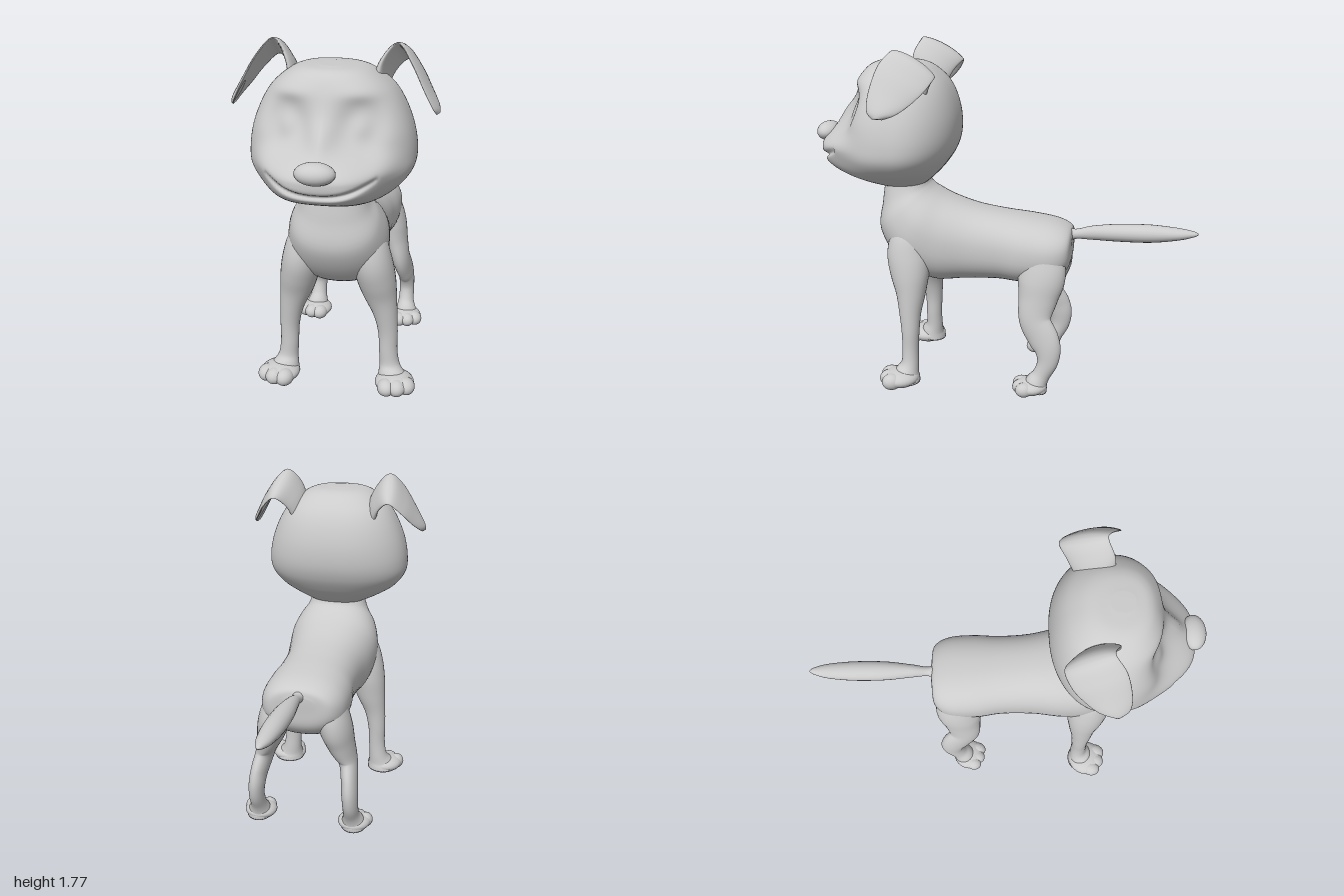
import * as THREE from 'three';

const material = new THREE.MeshStandardMaterial({ color: 0xcccccc });

// Smooth closed tube. Each row: edge point A, opposite edge point B, half width across them.
// power < 1 squares the section, bulge cups it, shape() moves the finished vertices.
function loft(rows, { steps = 40, sides = 32, power = 1, bulge = 0, shape = null } = {}) {
  const curve = f => new THREE.CatmullRomCurve3(rows.map(f), false, 'catmullrom', 0.5);
  const a = curve(r => new THREE.Vector3(...r[0]));
  const b = curve(r => new THREE.Vector3(...r[1]));
  const w = curve(r => new THREE.Vector3(r[2], 0, 0));
  const mid = t => a.getPoint(t).add(b.getPoint(t)).multiplyScalar(0.5);
  const soft = v => Math.sign(v) * Math.pow(Math.abs(v), power);
  const pts = [];
  for (let i = 0; i <= steps; i++) {
    const t = i / steps, c = mid(t);
    const u = a.getPoint(t).sub(b.getPoint(t)).multiplyScalar(0.5);
    const tangent = mid(Math.min(1, t + 0.01)).sub(mid(Math.max(0, t - 0.01)));
    const n = u.clone().cross(tangent).normalize();
    const half = Math.max(0.002, w.getPoint(t).x);
    for (let j = 0; j < sides; j++) {
      const q = j / sides * Math.PI * 2, s = Math.sin(q);
      pts.push(c.clone().addScaledVector(u, soft(Math.cos(q)))
        .addScaledVector(n, half * soft(s) + bulge * s * s));
    }
  }
  const first = pts.length;
  pts.push(mid(0), mid(1));
  if (shape) pts.forEach(shape);

  const index = [];
  for (let j = 0; j < sides; j++) {
    const k = (j + 1) % sides, last = steps * sides;
    for (let i = 0; i < steps; i++) {
      const p = i * sides, q = p + sides;
      index.push(p + j, p + k, q + j, p + k, q + k, q + j);
    }
    index.push(first, k, j, first + 1, last + j, last + k);
  }
  // Turn the faces outward
  let volume = 0;
  for (let i = 0; i < index.length; i += 3) {
    volume += pts[index[i]].dot(pts[index[i + 1]].clone().cross(pts[index[i + 2]]));
  }
  if (volume < 0) index.reverse();
  const geo = new THREE.BufferGeometry().setFromPoints(pts);
  geo.setIndex(index);
  geo.computeVertexNormals();
  return geo;
}

// Row kinds: profile in the middle plane, and level ring of a limb
const profile = ([y1, z1, y2, z2, w]) => [[0, y1, z1], [0, y2, z2], w];
const ring = ([x, y, z, rx, rz]) => [[x + rx, y, z], [x - rx, y, z], rz];

const ball = (x, y, z, rx, ry, rz) =>
  new THREE.SphereGeometry(1, 28, 20).scale(rx, ry, rz).translate(x, y, z);

function mirrored(geo) {
  const copy = geo.clone().scale(-1, 1, 1);
  copy.setIndex(Array.from(copy.index.array).reverse());
  return copy;
}

// Head relief: muzzle, mouth line, eye sockets with closed lids, brows and cheeks
const bump = (x, y, rx, ry) => Math.exp(-((x / rx) ** 2) - (y / ry) ** 2);
function face(p) {
  if (p.z < 0.5) {
    p.x *= 1 - 0.1 * ((0.5 - p.z) / 0.26) ** 2;
    return;
  }
  const front = Math.min(1, (p.z - 0.5) / 0.15), side = Math.abs(p.x);
  const dy = p.y - 1.25;
  const up = Math.max(0.05, 0.125 - 0.22 * side);
  const muzzle = Math.exp(-((side / 0.25) ** 4) - (dy > 0 ? (dy / up) ** 2 : (dy / 0.15) ** 4));
  const mouth = side < 0.25 ? Math.exp(-(((p.y - 1.185 - 1.1 * side * side) / 0.014) ** 2)) : 0;
  const ex = side - 0.16;
  p.z += front * (0.15 * muzzle - 0.028 * mouth * muzzle
    - 0.075 * bump(ex, p.y - 1.45, 0.09, 0.1)
    + 0.045 * bump(ex, p.y - 1.445, 0.055, 0.065)
    + 0.015 * bump(ex, p.y - 1.59, 0.1, 0.04)
    + 0.025 * bump(side - 0.27, p.y - 1.28, 0.07, 0.06)
    + 0.025 * bump(p.x, p.y - 1.42, 0.06, 0.07));
}

export function createModel() {
  const model = new THREE.Group();
  model.name = 'puppy';
  const add = (name, geo) => {
    const mesh = new THREE.Mesh(geo, material);
    mesh.name = name;
    model.add(mesh);
  };
  const addPair = (name, geo) => {
    add(name + 'Left', geo);
    add(name + 'Right', mirrored(geo));
  };

  // Torso from rump to neck: back line, belly line, half width
  add('body', loft([
    [0.8, -0.362, 0.74, -0.36, 0.07],
    [0.84, -0.345, 0.63, -0.345, 0.165],
    [0.872, -0.27, 0.56, -0.26, 0.215],
    [0.893, -0.15, 0.545, -0.10, 0.222],
    [0.91, 0, 0.55, 0.02, 0.208],
    [0.935, 0.15, 0.54, 0.20, 0.212],
    [0.975, 0.28, 0.53, 0.37, 0.235],
    [1.01, 0.355, 0.61, 0.54, 0.245],
    [1.035, 0.39, 0.79, 0.655, 0.212],
    [1.06, 0.405, 0.95, 0.645, 0.165],
    [1.12, 0.42, 1.07, 0.63, 0.14],
    [1.2, 0.42, 1.2, 0.62, 0.13],
  ].map(profile), { steps: 66, sides: 48, power: 0.88 }));

  // Tail, thickest past its middle
  add('tail', loft([
    [0.85, -0.31, 0.74, -0.31, 0.06],
    [0.828, -0.37, 0.775, -0.37, 0.026],
    [0.85, -0.46, 0.777, -0.46, 0.034],
    [0.867, -0.6, 0.776, -0.6, 0.05],
    [0.872, -0.76, 0.78, -0.76, 0.052],
    [0.862, -0.9, 0.8, -0.9, 0.04],
    [0.85, -0.975, 0.82, -0.975, 0.02],
    [0.84, -1, 0.832, -1, 0.005],
  ].map(profile), { sides: 20 }));

  // Legs from inside the torso to the ankle
  addPair('frontLeg', loft([
    [0.10, 0.92, 0.47, 0.03, 0.04],
    [0.12, 0.86, 0.47, 0.075, 0.075],
    [0.143, 0.8, 0.475, 0.097, 0.1],
    [0.17, 0.7, 0.478, 0.1, 0.112],
    [0.19, 0.6, 0.468, 0.096, 0.102],
    [0.21, 0.5, 0.46, 0.082, 0.078],
    [0.236, 0.4, 0.46, 0.06, 0.058],
    [0.25, 0.3, 0.458, 0.049, 0.047],
    [0.253, 0.2, 0.46, 0.046, 0.043],
    [0.262, 0.12, 0.462, 0.051, 0.046],
    [0.278, 0.07, 0.475, 0.072, 0.065],
    [0.285, 0.035, 0.48, 0.085, 0.075],
  ].map(ring), { steps: 55 }));
  addPair('hindLeg', loft([
    [0.11, 0.82, -0.2, 0.02, 0.03],
    [0.125, 0.76, -0.21, 0.07, 0.09],
    [0.14, 0.68, -0.218, 0.088, 0.12],
    [0.163, 0.6, -0.22, 0.085, 0.122],
    [0.186, 0.51, -0.208, 0.072, 0.103],
    [0.223, 0.4, -0.198, 0.05, 0.083],
    [0.243, 0.31, -0.245, 0.043, 0.08],
    [0.25, 0.25, -0.27, 0.042, 0.068],
    [0.254, 0.18, -0.27, 0.04, 0.054],
    [0.254, 0.11, -0.24, 0.043, 0.046],
    [0.258, 0.065, -0.215, 0.058, 0.058],
    [0.26, 0.03, -0.205, 0.068, 0.065],
  ].map(ring), { steps: 55 }));

  // Paws with three shallow toes, turned outward
  for (const [name, x, z, size] of [['front', 0.292, 0.505, 1], ['hind', 0.257, -0.186, 0.88]]) {
    const place = geo => geo.rotateY(0.3).scale(size, size, size).translate(x, 0, z);
    addPair(name + 'Paw', place(ball(0, 0.048, 0.005, 0.098, 0.048, 0.1)));
    [[-0.05, 0.05], [0, 0.06], [0.05, 0.05]].forEach(([tx, tz], i) =>
      addPair(name + 'Toe' + (i + 1), place(ball(tx, 0.046, tz, 0.045, 0.043, 0.052))));
  }

  // Head: front and back lines and half width from jaw to crown
  add('head', loft([
    [1.035, 0.63, 1.035, 0.44, 0.1],
    [1.06, 0.69, 1.06, 0.4, 0.165],
    [1.1, 0.745, 1.1, 0.355, 0.245],
    [1.15, 0.78, 1.15, 0.31, 0.32],
    [1.22, 0.8, 1.22, 0.265, 0.372],
    [1.3, 0.8, 1.3, 0.24, 0.38],
    [1.4, 0.8, 1.4, 0.238, 0.363],
    [1.5, 0.775, 1.5, 0.26, 0.325],
    [1.58, 0.745, 1.58, 0.3, 0.275],
    [1.64, 0.71, 1.64, 0.36, 0.205],
    [1.67, 0.67, 1.67, 0.42, 0.14],
    [1.68, 0.61, 1.68, 0.5, 0.05],
  ].map(profile), { steps: 150, sides: 144, power: 0.82, shape: face }));
  add('nose', ball(0, 1.3, 0.94, 0.09, 0.05, 0.06));

  // Folded ears: front edge, back edge, half thickness
  addPair('ear', loft([
    [[0.19, 1.57, 0.54], [0.21, 1.52, 0.36], 0.035],
    [[0.215, 1.69, 0.53], [0.25, 1.6, 0.32], 0.022],
    [[0.28, 1.765, 0.495], [0.31, 1.645, 0.28], 0.014],
    [[0.345, 1.7, 0.55], [0.375, 1.59, 0.315], 0.012],
    [[0.41, 1.58, 0.582], [0.42, 1.53, 0.375], 0.012],
    [[0.45, 1.5, 0.58], [0.455, 1.485, 0.44], 0.01],
    [[0.465, 1.465, 0.55], [0.465, 1.463, 0.5], 0.004],
  ], { steps: 40, bulge: 0.012 }));

  return model;
}
